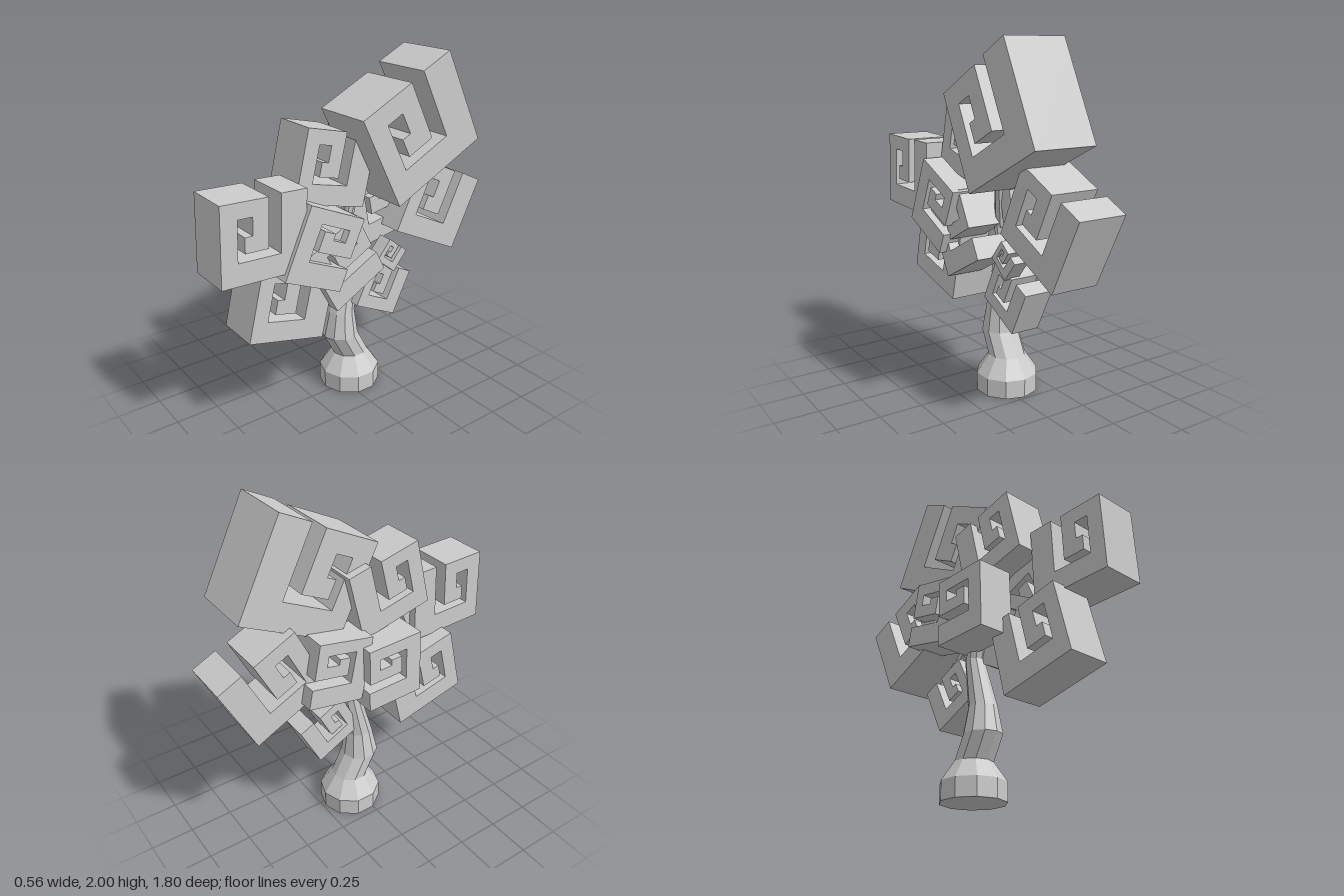
import * as THREE from 'three';

const material = new THREE.MeshStandardMaterial({ color: 0xcccccc, flatShading: true });

// Square spiral of unit width, used for every leaf block
const spiral = new THREE.Shape([
  [0, 0], [1, 0], [1, 0.9], [0.69, 0.9], [0.69, 0.25], [0.19, 0.25], [0.19, 0.71],
  [0.36, 0.71], [0.36, 0.51], [0.27, 0.51], [0.27, 0.335], [0.545, 0.335], [0.545, 0.885], [0, 0.885],
].map(([u, v]) => new THREE.Vector2(u, v)));

// Leaf block: first corner (z, y), width, turn in degrees, x range
function leafBlock(z, y, width, degrees, x0, x1) {
  const geometry = new THREE.ExtrudeGeometry(spiral, { depth: 1, bevelEnabled: false });
  geometry.scale(width, width, x1 - x0);
  geometry.rotateZ(THREE.MathUtils.degToRad(degrees));
  geometry.rotateY(Math.PI / 2);
  geometry.translate(x0, y, z);
  return new THREE.Mesh(geometry, material);
}

// Bent trunk: rings of [y, x, z, radius] on a ten-sided column
function trunk() {
  const rings = [
    [0, -0.04, -0.056, 0.18], [0.105, -0.04, -0.056, 0.18], [0.21, -0.04, -0.056, 0.108],
    [0.345, -0.04, 0.015, 0.108], [0.5, -0.035, 0.01, 0.08], [0.78, -0.04, -0.05, 0.055],
    [1.05, -0.05, 0.03, 0.045],
  ];
  const last = rings.length - 1;
  const geometry = new THREE.CylinderGeometry(1, 1, last, 10, last);
  const p = geometry.attributes.position;
  for (let i = 0; i < p.count; i++) {
    const [y, x, z, r] = rings[Math.round(p.getY(i) + last / 2)];
    p.setXYZ(i, x + p.getX(i) * r, y, z + p.getZ(i) * r);
  }
  geometry.computeVertexNormals();
  return new THREE.Mesh(geometry, material);
}

// Thin branch between two points
function branch(from, to) {
  const a = new THREE.Vector3(...from), b = new THREE.Vector3(...to);
  const mesh = new THREE.Mesh(new THREE.CylinderGeometry(0.025, 0.04, a.distanceTo(b), 8), material);
  mesh.position.copy(a).lerp(b, 0.5);
  mesh.quaternion.setFromUnitVectors(new THREE.Vector3(0, 1, 0), b.clone().sub(a).normalize());
  return mesh;
}

export function createModel() {
  const group = new THREE.Group();
  const add = (name, mesh) => {
    mesh.name = name;
    group.add(mesh);
  };

  add('trunk', trunk());

  // Branches into the crown
  add('upperBranch', branch([-0.04, 0.95, 0], [0.02, 1.3, -0.06]));
  add('backBranch', branch([-0.04, 0.8, -0.05], [0.07, 0.84, -0.2]));

  // Leaf blocks
  const leaves = {
    topLeaf: [-0.16, 1.2, 0.64, 26.6, -0.09, 0.275],
    frontLeaf: [0.9, 0.99, 0.485, -2.2, -0.04, 0.22],
    backLeaf: [-0.26, 0.99, 0.495, -26, -0.14, 0.145],
    upperFrontLeaf: [0.41, 1.29, 0.45, -13.7, -0.14, 0.12],
    leftLeaf: [0.39, 1.32, 0.413, -114.2, 0.01, 0.245],
    rightLeaf: [0.25, 1.21, 0.385, -92, -0.28, -0.06],
    rightBackLeaf: [-0.025, 1.245, 0.38, -79, -0.22, 0],
    middleLeaf: [0.395, 1.01, 0.41, -62, -0.03, 0.2],
    lowerFrontLeaf: [0.72, 0.59, 0.47, -13.7, -0.125, 0.135],
    lowerBackLeaf: [-0.015, 0.565, 0.308, -26.6, -0.085, 0.09],
    smallLeaf: [-0.14, 0.83, 0.16, -39.5, 0.03, 0.12],
  };
  for (const [name, spec] of Object.entries(leaves)) add(name, leafBlock(...spec));
  return group;
}
